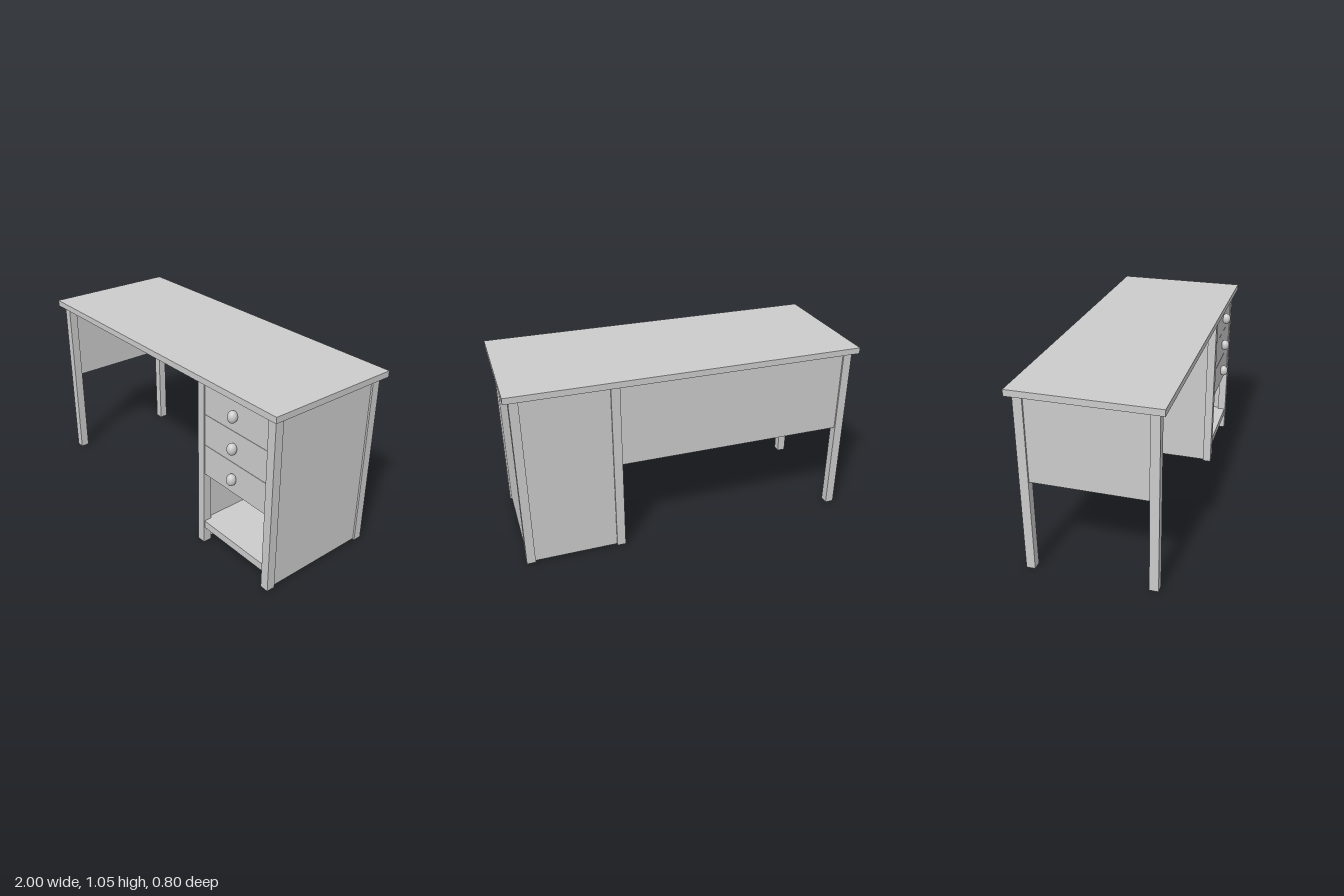
import * as THREE from 'three';

export function createModel() {
  const desk = new THREE.Group();
  desk.name = 'desk';
  const material = new THREE.MeshStandardMaterial({ color: 0xcccccc });

  // Box given by its limits on each axis
  function box(name, [x0, x1], [y0, y1], [z0, z1], parent = desk) {
    const mesh = new THREE.Mesh(new THREE.BoxGeometry(x1 - x0, y1 - y0, z1 - z0), material);
    mesh.position.set((x0 + x1) / 2, (y0 + y1) / 2, (z0 + z1) / 2);
    mesh.name = name;
    parent.add(mesh);
    return mesh;
  }

  const under = 1.02; // underside of the top
  box('top', [-1, 1], [under, 1.055], [-0.4, 0.39]);

  // Three pairs of legs
  const legs = { right: [-0.97, -0.92], middle: [0.395, 0.445], left: [0.92, 0.97] };
  for (const [side, x] of Object.entries(legs)) {
    box(side + 'FrontLeg', x, [0, under], [0.31, 0.36]);
    box(side + 'BackLeg', x, [0, under], [-0.37, -0.32]);
  }

  // Panels between the legs, slightly inset from their outer faces
  const between = [-0.32, 0.31];
  const back = [-0.36, -0.34];
  box('rightSidePanel', [-0.96, -0.94], [0.535, under], between);
  box('pedestalInnerPanel', [0.405, 0.425], [0.005, under], between);
  box('pedestalOuterPanel', [0.94, 0.96], [0.005, under], between);
  box('modestyPanel', [-0.92, 0.395], [0.535, under], back);
  box('pedestalBackPanel', [0.445, 0.92], [0.005, under], back);

  // Bottom shelf, notched around the legs
  box('shelf', [0.445, 0.92], [0.1, 0.145], [-0.34, 0.355]);
  box('shelfInnerEdge', [0.425, 0.445], [0.1, 0.145], between);
  box('shelfOuterEdge', [0.92, 0.94], [0.1, 0.145], between);

  // Drawers: front, tray and oval knob
  const height = 0.183;
  const knobGeometry = new THREE.SphereGeometry(1, 32, 20);
  for (let i = 0; i < 3; i++) {
    const y = 0.461 + i * height;
    const drawer = new THREE.Group();
    drawer.name = 'drawer' + (i + 1);
    box('drawerFront', [0.446, 0.919], [y, y + height - 0.002], [0.33, 0.355], drawer);
    box('drawerBottom', [0.45, 0.915], [y, y + 0.015], [-0.32, 0.33], drawer);
    box('drawerBack', [0.45, 0.915], [y + 0.015, y + 0.16], [-0.32, -0.305], drawer);
    for (const x of [0.45, 0.9]) {
      box('drawerSide', [x, x + 0.015], [y + 0.015, y + 0.16], [-0.305, 0.33], drawer);
    }
    const knob = new THREE.Mesh(knobGeometry, material);
    knob.name = 'knob';
    knob.scale.set(0.026, 0.034, 0.027);
    knob.position.set(0.682, y + height / 2 - 0.002, 0.373);
    drawer.add(knob);
    desk.add(drawer);
  }
  return desk;
}
